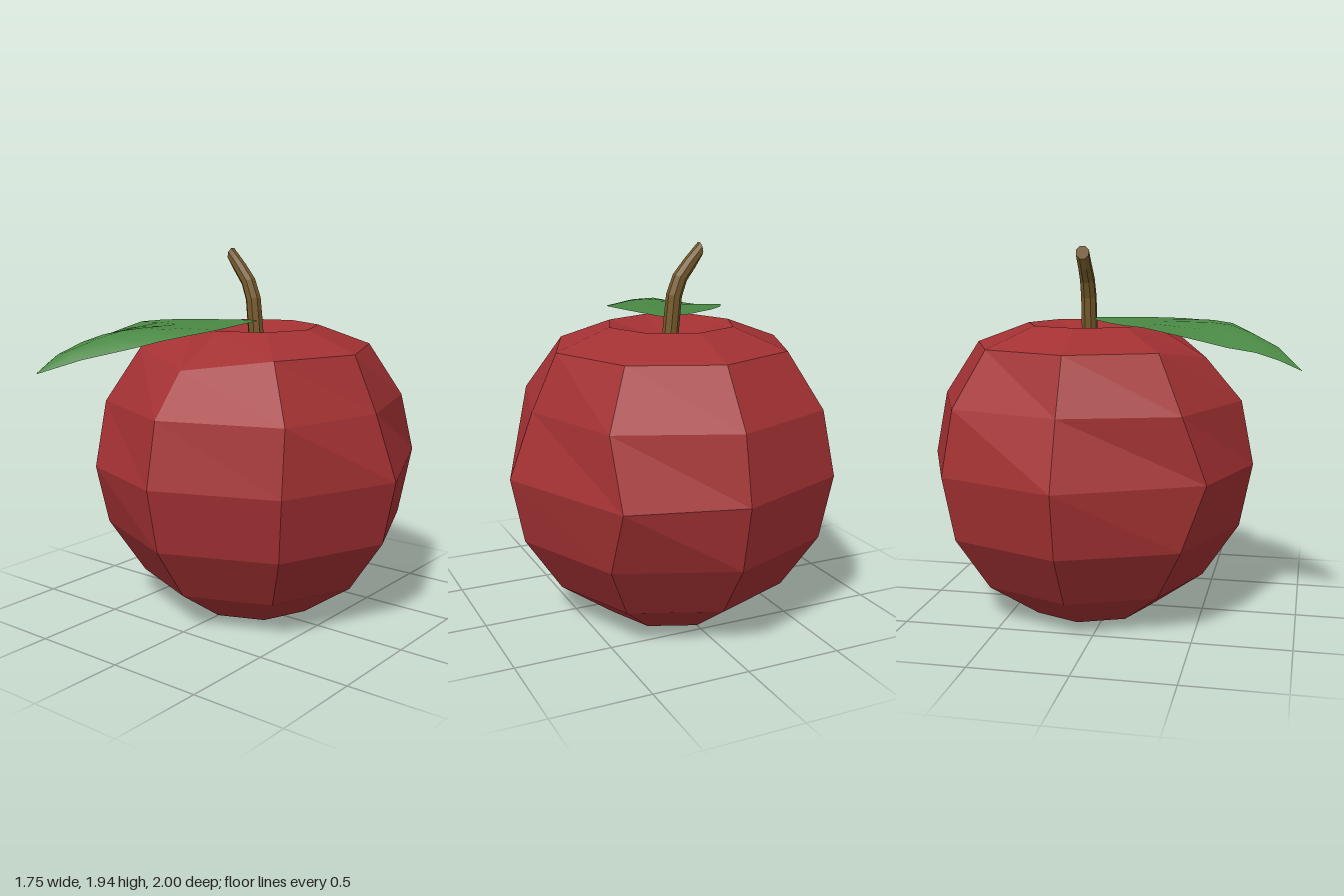
import * as THREE from 'three';

const CZ = -0.12; // the fruit and stem share this axis

// Faceted fruit: an 8 x 8 sphere with dimpled poles and a few dented corners
function makeFruit() {
  const R = 0.875, CY = 0.815, SIDES = 8;
  const geo = new THREE.SphereGeometry(R, SIDES, 8);
  const pos = geo.attributes.position;
  const rowHeight = { 0: 1.44, 1: 1.54, 7: 0, 8: 0.11 };
  // 'row,column': [x, y, z] about the fruit axis
  const dents = {
    '2,2': [0, 1.37, 0.62],
    '3,0': [-0.75, 1.15, 0],
    '3,4': [0.75, 1.15, 0],
    '3,3': [0.6, 1.15, 0.57],
    '4,1': [-0.54, 0.815, 0.69],
    '4,5': [0.57, 0.815, -0.72],
  };
  for (let i = 0; i < pos.count; i++) {
    const row = Math.floor(i / (SIDES + 1));
    const col = (i % (SIDES + 1)) % SIDES;
    pos.setY(i, rowHeight[row] ?? pos.getY(i) + CY);
    const dent = dents[`${row},${col}`];
    if (dent) pos.setXYZ(i, ...dent);
  }
  geo.computeVertexNormals();
  const mesh = new THREE.Mesh(geo, new THREE.MeshStandardMaterial({ color: 0xa33133, flatShading: true }));
  mesh.name = 'fruit';
  mesh.position.z = CZ;
  return mesh;
}

// Bent, slightly tapering stem: 8-sided rings swept along a few points
function makeStem() {
  const SIDES = 8;
  // x, y, radius, lean of the ring (radians)
  const rings = [
    [0.005, 1.41, 0.042, 0],
    [-0.01, 1.56, 0.042, 0.06],
    [-0.022, 1.68, 0.041, 0.2],
    [-0.055, 1.77, 0.039, 0.45],
    [-0.11, 1.84, 0.036, 0.7],
    [-0.168, 1.91, 0.036, 1.4],
  ];
  const verts = [], index = [];
  for (const [x, y, r, lean] of rings) {
    for (let i = 0; i < SIDES; i++) {
      const a = ((i + 0.5) / SIDES) * Math.PI * 2;
      const u = r * Math.cos(a);
      verts.push(x + u * Math.cos(lean), y + u * Math.sin(lean), r * Math.sin(a));
    }
  }
  for (let k = 0; k < rings.length - 1; k++) {
    for (let i = 0; i < SIDES; i++) {
      const a = k * SIDES + i, b = k * SIDES + ((i + 1) % SIDES);
      index.push(a, a + SIDES, b, b, a + SIDES, b + SIDES);
    }
  }
  // end cap at the tip
  const last = (rings.length - 1) * SIDES;
  for (let i = 1; i < SIDES - 1; i++) index.push(last, last + i + 1, last + i);
  const geo = new THREE.BufferGeometry();
  geo.setAttribute('position', new THREE.Float32BufferAttribute(verts, 3));
  geo.setIndex(index);
  geo.computeVertexNormals();
  const mesh = new THREE.Mesh(geo, new THREE.MeshStandardMaterial({ color: 0x75592a, flatShading: true }));
  mesh.name = 'stem';
  mesh.position.z = CZ;
  return mesh;
}

// Smooth drooping leaf: cross-sections of left edge, midrib height, right edge
function makeLeaf() {
  const sections = [
    [[0.01, 1.57, -0.1], 1.57, [0.03, 1.57, -0.09]],
    [[-0.13, 1.568, -0.06], 1.57, [0.05, 1.57, -0.02]],
    [[-0.33, 1.567, 0.05], 1.57, [0.085, 1.57, 0.12]],
    [[-0.43, 1.565, 0.14], 1.57, [0.11, 1.568, 0.26]],
    [[-0.49, 1.56, 0.25], 1.57, [0.12, 1.565, 0.36]],
    [[-0.505, 1.53, 0.4], 1.57, [0.115, 1.56, 0.45]],
    [[-0.51, 1.5, 0.54], 1.57, [0.08, 1.55, 0.54]],
    [[-0.515, 1.475, 0.65], 1.562, [0.01, 1.53, 0.64]],
    [[-0.51, 1.455, 0.78], 1.53, [-0.1, 1.495, 0.72]],
    [[-0.5, 1.42, 0.89], 1.47, [-0.29, 1.44, 0.88]],
    [[-0.483, 1.37, 1.0], 1.372, [-0.477, 1.37, 0.995]],
  ];
  const N = 4; // strips across the leaf
  const verts = [], index = [];
  for (const [l, ridge, r] of sections) {
    const lift = ridge - (l[1] + r[1]) / 2;
    for (let i = 0; i <= N; i++) {
      const t = i / N;
      const arch = lift * 4 * t * (1 - t);
      verts.push(
        THREE.MathUtils.lerp(l[0], r[0], t),
        THREE.MathUtils.lerp(l[1], r[1], t) + arch,
        THREE.MathUtils.lerp(l[2], r[2], t),
      );
    }
  }
  for (let k = 0; k < sections.length - 1; k++) {
    for (let i = 0; i < N; i++) {
      const a = k * (N + 1) + i, c = a + N + 1;
      index.push(a, c, a + 1, a + 1, c, c + 1);
    }
  }
  const geo = new THREE.BufferGeometry();
  geo.setAttribute('position', new THREE.Float32BufferAttribute(verts, 3));
  geo.setIndex(index);
  geo.computeVertexNormals();
  const mesh = new THREE.Mesh(geo, new THREE.MeshStandardMaterial({ color: 0x4a8844, side: THREE.DoubleSide }));
  mesh.name = 'leaf';
  return mesh;
}

export function createModel() {
  const group = new THREE.Group();
  group.name = 'fruitWithLeaf';
  group.add(makeFruit(), makeStem(), makeLeaf());
  return group;
}
